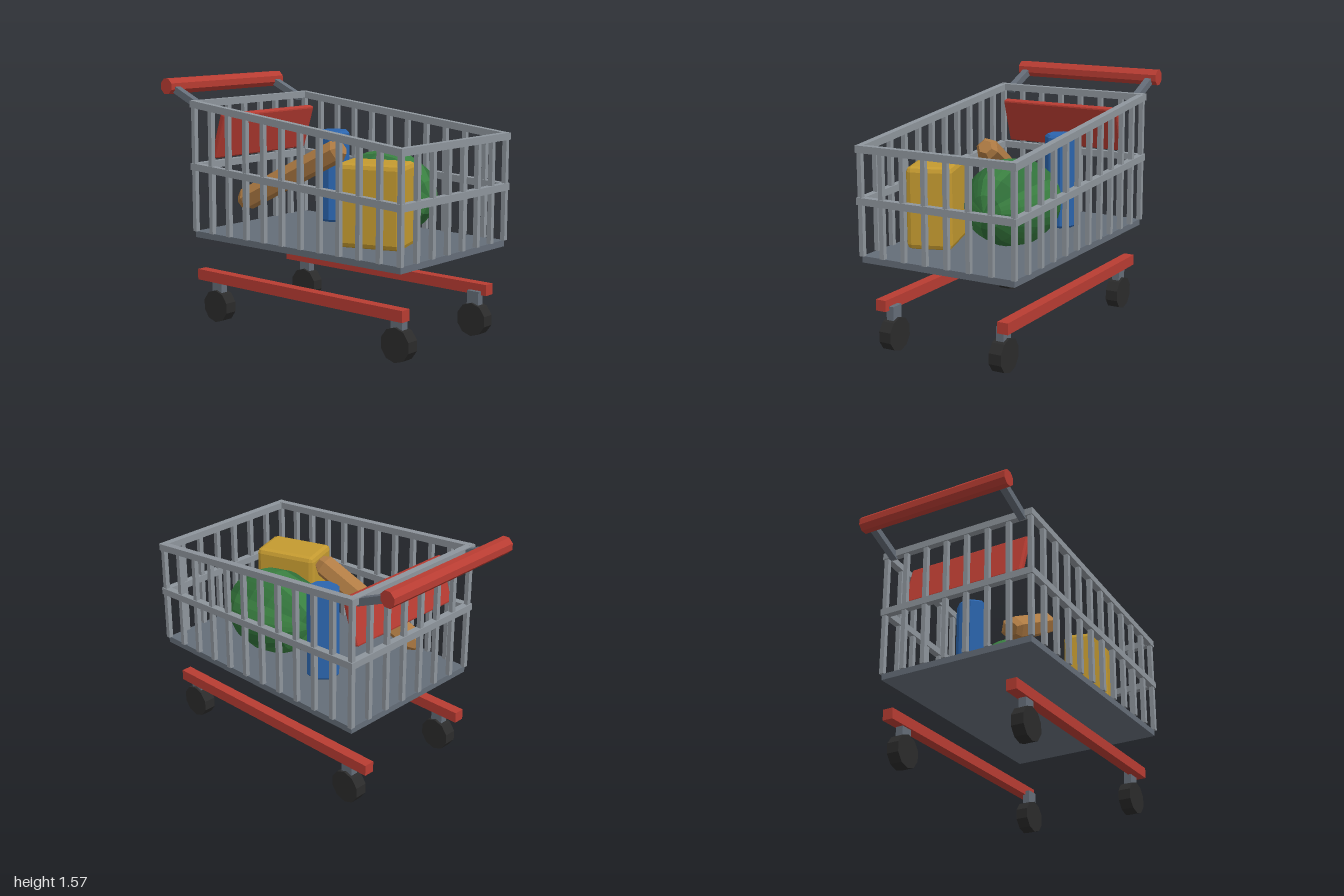
import * as THREE from 'three';
import { RoundedBoxGeometry } from 'three/addons/geometries/RoundedBoxGeometry.js';

const material = (name, color) => {
  const m = new THREE.MeshStandardMaterial({ color });
  m.name = name;
  return m;
};

// Faceted normals for low-poly parts
const flat = (geometry) => {
  const g = geometry.index ? geometry.toNonIndexed() : geometry;
  g.computeVertexNormals();
  return g;
};

export function createModel() {
  const steel = material('steel', 0x8e959c);
  const darkSteel = material('darkSteel', 0x646d78);
  const red = material('redPlastic', 0xb83c32);
  const rubber = material('rubber', 0x2b2b2b);
  const yellow = material('yellowCarton', 0xc49a30);
  const blue = material('blueTin', 0x2b65ae);
  const green = material('melonGreen', 0x3a8041);
  const darkGreen = material('melonDarkGreen', 0x31713a);
  const crust = material('breadCrust', 0xb07c44);

  const model = new THREE.Group();
  model.name = 'shoppingCart';

  const add = (parent, name, geometry, mat, x = 0, y = 0, z = 0) => {
    const mesh = new THREE.Mesh(geometry, mat);
    mesh.name = name;
    mesh.position.set(x, y, z);
    parent.add(mesh);
    return mesh;
  };
  const group = (name) => {
    const g = new THREE.Group();
    g.name = name;
    model.add(g);
    return g;
  };
  const box = (parent, name, mat, w, h, d, x, y, z) =>
    add(parent, name, new THREE.BoxGeometry(w, h, d), mat, x, y, z);
  // Square bar lying in an xy plane, from (x0, y0) to (x1, y1)
  const bar = (parent, name, mat, x0, y0, x1, y1, z, size) => {
    const m = box(parent, name, mat, Math.hypot(x1 - x0, y1 - y0), size, size,
      (x0 + x1) / 2, (y0 + y1) / 2, z);
    m.rotation.z = Math.atan2(y1 - y0, x1 - x0);
    return m;
  };

  // Basket: floor, sloping rails and upright posts
  const basket = group('basket');
  const back = -0.69, front = 0.972, side = 0.523, floorTop = 0.6;
  const rimY = (x) => 1.42 + (x - back) / (front - back) * (1.25 - 1.42);
  const midY = (x) => 1.02 + (x - back) / (front - back) * (0.937 - 1.02);
  box(basket, 'basketFloor', darkSteel, 1.67, 0.04, 1.05, 0.14, 0.58, 0);

  const post = (x, z) => {
    const h = rimY(x) - floorTop;
    box(basket, 'post', steel, 0.03, h, 0.03, x, floorTop + h / 2, z);
  };
  for (const s of [-1, 1]) {
    for (const [name, y] of [['sideRim', rimY], ['sideMiddleRail', midY]]) {
      bar(basket, name, steel, back - 0.02, y(back - 0.02), front + 0.02, y(front + 0.02), s * side, 0.044);
    }
    for (let i = 0; i < 12; i++) post(back + (front - back) * i / 11, s * side);
  }
  for (const x of [back, front]) {
    box(basket, 'endRim', steel, 0.044, 0.044, 1.09, x, rimY(x), 0);
    box(basket, 'endMiddleRail', steel, 0.044, 0.044, 1.09, x, midY(x), 0);
    for (let i = 1; i < 7; i++) post(x, -side + 2 * side * i / 7);
  }

  // Push handle
  const handle = group('handle');
  const grip = new THREE.CylinderGeometry(0.054, 0.054, 1.05, 8);
  grip.rotateY(Math.PI / 8).rotateX(Math.PI / 2);
  add(handle, 'handleGrip', flat(grip), red, -0.95, 1.52, 0);
  for (const s of [-1, 1]) {
    bar(handle, 'handleArm', darkSteel, -0.69, 1.402, -0.935, 1.508, s * 0.47, 0.045);
  }

  // Folding seat panel
  const panel = add(model, 'seatPanel', flat(new RoundedBoxGeometry(0.045, 0.3, 0.85, 1, 0.012)),
    red, -0.581, 1.215, 0);
  panel.rotation.z = -0.31;

  // Undercarriage: side beams, forks and ten-sided wheels
  const chassis = group('undercarriage');
  const wheelGeometry = new THREE.CylinderGeometry(0.106, 0.106, 0.082, 10);
  wheelGeometry.rotateX(Math.PI / 2);
  const wheel = flat(wheelGeometry);
  for (const s of [-1, 1]) {
    box(chassis, 'sideBeam', red, 1.69, 0.07, 0.07, 0.095, 0.295, s * 0.425);
    for (const [x, z] of [[-0.585, 0.425], [0.86, 0.385]]) {
      box(chassis, 'wheelFork', darkSteel, 0.085, 0.135, 0.05, x, 0.2175, s * z);
      add(chassis, 'wheel', wheel, rubber, x, 0.106, s * z);
    }
  }

  // Groceries
  const groceries = group('groceries');
  const carton = add(groceries, 'carton', flat(new RoundedBoxGeometry(0.42, 0.505, 0.28, 1, 0.032)),
    yellow, 0.573, 0.882, 0.252);
  carton.rotation.y = 0.33;

  const lathe = (points, sides, phi) =>
    flat(new THREE.LatheGeometry(points.map(([r, y]) => new THREE.Vector2(r, y)), sides, phi));
  add(groceries, 'tin', lathe([[0, 0], [0.092, 0], [0.108, 0.016], [0.108, 0.579], [0.092, 0.595], [0, 0.595]],
    8, Math.PI / 8), blue, -0.158, 0.637, -0.215);

  // Bread stick leaning from the floor towards the melon
  const from = new THREE.Vector3(-0.515, 0.78, 0.28);
  const to = new THREE.Vector3(0.21, 1.175, 0.13);
  const length = from.distanceTo(to), h = length / 2;
  const bread = add(groceries, 'breadStick',
    lathe([[0, -h], [0.045, -h], [0.075, -h + 0.045], [0.075, h - 0.045], [0.045, h], [0, h]], 6, 0), crust);
  bread.position.copy(from).add(to).multiplyScalar(0.5);
  bread.quaternion.setFromUnitVectors(new THREE.Vector3(0, 1, 0), to.clone().sub(from).normalize());

  // Melon in ten lengthwise segments of alternating green
  for (let i = 0; i < 10; i++) {
    const step = Math.PI / 5;
    const segment = new THREE.SphereGeometry(1, 1, 8, (i - 0.5) * step, step);
    segment.rotateZ(-Math.PI / 2).scale(0.35, 0.267, 0.28);
    add(groceries, 'melonSegment', flat(segment), i % 2 ? darkGreen : green, 0.335, 0.88, -0.145);
  }

  return model;
}
